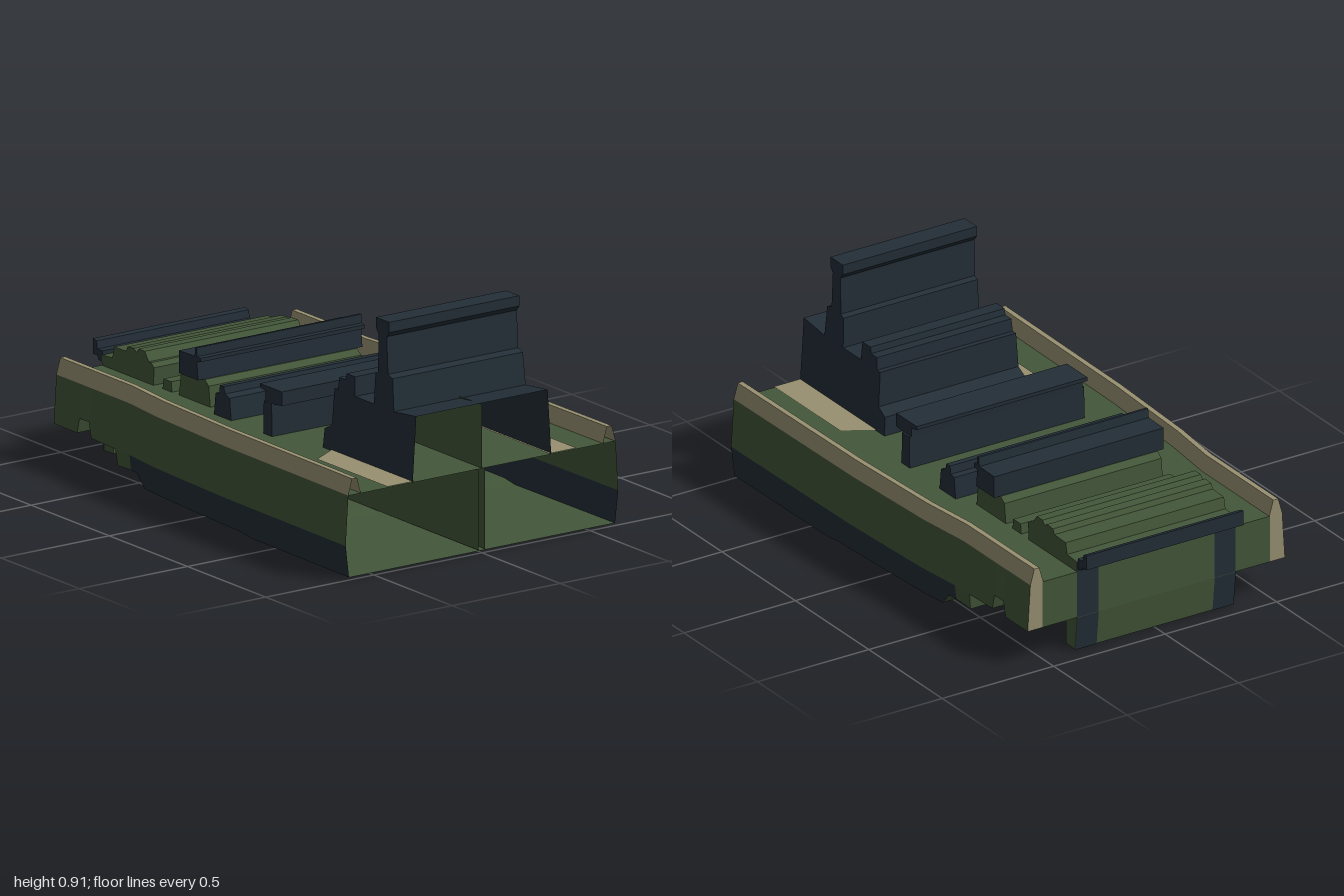
import * as THREE from 'three';

const mat = (name, color) => new THREE.MeshStandardMaterial({ name, color, side: THREE.DoubleSide });

export function createModel() {
  const model = new THREE.Group();
  const green = mat('olive green', 0x435639);
  const navy = mat('dark navy', 0x232e37);
  const beige = mat('khaki beige', 0x979071);
  const DECK = 0.33, BAND = 0.135, STERN = -0.94;

  const add = (name, geometry, material) => {
    const mesh = new THREE.Mesh(geometry, material);
    mesh.name = name;
    model.add(mesh);
    return mesh;
  };

  // Flat-shaded surface from a list of four-cornered faces
  const quads = (list) => {
    const p = [];
    for (const [a, b, c, d] of list) p.push(...a, ...b, ...c, ...a, ...c, ...d);
    const g = new THREE.BufferGeometry();
    g.setAttribute('position', new THREE.Float32BufferAttribute(p, 3));
    g.computeVertexNormals();
    return g;
  };

  // Side profile of [z, y] points, spread across the ship and narrowed towards the top;
  // faces lying on the deck or on the open bow plane are left out
  const across = (name, profile, half, material, taper = 0) => {
    const shape = new THREE.Shape(profile.map(([z, y]) => new THREE.Vector2(z, y)));
    const src = new THREE.ExtrudeGeometry(shape, { depth: half * 2, bevelEnabled: false });
    src.rotateY(-Math.PI / 2).translate(half, 0, 0);
    const s = src.attributes.position, p = [];
    for (let i = 0; i < s.count; i += 3) {
      const t = [0, 1, 2].map((k) => [s.getX(i + k), s.getY(i + k), s.getZ(i + k)]);
      if (t.every((v) => v[2] > 0.999) || t.every((v) => Math.abs(v[1] - DECK) < 0.001)) continue;
      for (const [x, y, z] of t) p.push(x * (1 - taper * Math.min(Math.max(y - DECK, 0), 0.3)), y, z);
    }
    const g = new THREE.BufferGeometry();
    g.setAttribute('position', new THREE.Float32BufferAttribute(p, 3));
    g.computeVertexNormals();
    return add(name, g, material);
  };

  // Half width of the hull along its length
  const beam = [[1, 0.63], [0.2, 0.622], [-0.25, 0.602], [-0.48, 0.578], [STERN, 0.577]];
  const width = (z) => {
    for (let i = 1; i < beam.length; i++) {
      const [z0, w0] = beam[i - 1], [z1, w1] = beam[i];
      if (z >= z1) return w0 + (w1 - w0) * (z - z0) / (z1 - z0);
    }
    return beam.at(-1)[1];
  };

  // Stations: z and height of the bottom
  const stations = [[1, 0.01], [0.65, 0.01], [0.37, 0.01], [0.3, 0.02], [0.2, 0.021], [-0.25, 0.025],
    [-0.36, 0.025], [-0.405, 0.075], [-0.45, 0.075], [-0.48, 0.073], [-0.54, 0.07], [-0.545, BAND],
    [-0.7, 0.14], [-0.715, 0.2], [-0.775, 0.2], [-0.79, 0.14], [STERN, 0.14]];
  const bottom = [], deck = [], lowerNavy = [], sideGreen = [], rail = [];
  for (let i = 1; i < stations.length; i++) {
    const [za, ba] = stations[i - 1], [zb, bb] = stations[i];
    const wa = width(za), wb = width(zb);
    const low = (w, b) => w - 0.015 * Math.max(0, (BAND - b) / 0.125);
    const la = low(wa, ba), lb = low(wb, bb);
    bottom.push([[-la, ba, za], [-lb, bb, zb], [lb, bb, zb], [la, ba, za]]);
    deck.push([[-wa + 0.015, DECK, za], [wa - 0.015, DECK, za], [wb - 0.015, DECK, zb], [-wb + 0.015, DECK, zb]]);
    for (const s of [1, -1]) {
      // s mirrors each strip; corner order flips with it
      const strip = (target, xa, ya, xb, yb, xc, yc, xd, yd) => {
        const q = [[s * xa, ya, za], [s * xb, yb, zb], [s * xc, yc, zb], [s * xd, yd, za]];
        target.push(s > 0 ? q : q.reverse());
      };
      if (ba < BAND) strip(zb < -0.451 ? sideGreen : lowerNavy, la, ba, lb, bb, wb, BAND, wa, BAND);
      strip(sideGreen, wa, Math.max(ba, BAND), wb, Math.max(bb, BAND), wb - 0.012, DECK, wa - 0.012, DECK);
      // Bulwark: outer slope, top, inner slope
      const lip = [[0.012, DECK], [0.03, 0.393], [0.052, 0.393], [0.07, DECK]];
      for (let k = 1; k < lip.length; k++) {
        const [d0, y0] = lip[k - 1], [d1, y1] = lip[k];
        strip(rail, wa - d0, y0, wb - d0, y0, wb - d1, y1, wa - d1, y1);
      }
    }
  }
  add('hullBottom', quads(bottom), green);
  add('deck', quads(deck), green);
  add('lowerHullBand', quads(lowerNavy), navy);
  add('hullSides', quads(sideGreen), green);
  add('bulwarks', quads(rail), beige);

  // Transom panels, each facing aft
  const panel = (x0, x1, y0, y1, z = STERN) => [[x1, y0, z], [x0, y0, z], [x0, y1, z], [x1, y1, z]];
  const mirrored = (x0, x1, y0, y1, z) => [panel(x0, x1, y0, y1, z), panel(-x1, -x0, y0, y1, z)];
  add('transomCentre', quads([panel(-0.26, 0.26, 0.14, 0.37), ...mirrored(0.355, 0.51, 0.14, DECK)]), green);
  add('transomStripes', quads(mirrored(0.26, 0.355, 0.14, 0.37)), navy);
  const w = width(STERN);
  add('bulwarkEnds', quads([1, -1].map((s) => [[s * w, 0.14, STERN], [s * 0.51, 0.14, STERN],
    [s * 0.51, DECK, STERN], [s * (w - 0.012), DECK, STERN]]).concat([1, -1].map((s) => [
    [s * (w - 0.012), DECK, STERN], [s * 0.507, DECK, STERN],
    [s * (w - 0.052), 0.393, STERN], [s * (w - 0.03), 0.393, STERN]])).map((q, i) => (i % 2 ? q.reverse() : q))), beige);

  // Stern flap reaching below the hull, with painted edges
  across('sternFlap', [[-0.865, 0.14], [-0.865, 0.002], [-0.925, 0], [STERN, 0.14]], 0.355, green);
  add('flapStripes', quads([[0.26, 0.355], [-0.355, -0.26]].map(([a, b]) => [
    [b, 0, -0.928], [a, 0, -0.928], [a, 0.14, -0.943], [b, 0.14, -0.943]])), navy);
  across('sternRail', [[STERN, 0.34], [-0.965, 0.345], [-0.972, 0.36], [-1, 0.36], [-1, 0.42],
    [-0.978, 0.415], [-0.972, 0.385], [STERN, 0.385]], 0.352, navy);

  // Khaki deck patches beside the tower
  add('deckPatches', quads([1, -1].map((s) => {
    const q = [[0.31, 1], [0.437, 1], [0.437, 0.55], [0.31, 0.475]].map(([x, z]) => [s * x, DECK + 0.004, z]);
    return s > 0 ? q : q.reverse();
  })), beige);

  // Stepped superstructure with its tall tower, open at the bow end
  across('superstructure', [[1, DECK], [1, 0.585], [0.858, 0.57], [0.845, 0.695], [0.815, 0.705], [0.807, 0.85],
    [0.823, 0.87], [0.823, 0.91], [0.738, 0.91], [0.738, 0.87], [0.754, 0.85], [0.752, 0.70], [0.735, 0.69],
    [0.73, 0.57], [0.61, 0.57], [0.605, 0.645], [0.55, 0.645], [0.545, 0.62], [0.505, 0.62], [0.5, 0.57],
    [0.478, 0.57], [0.475, 0.43], [0.43, 0.405], [0.425, DECK]], 0.32, navy, 0.2);

  // Lengthwise inner walls, visible through the open bow
  add('innerWalls', quads([1, -1].map((s) => [[s * 0.015, 0.012, 1], [s * 0.04, 0.025, -0.25],
    [s * 0.035, DECK - 0.001, -0.25], [s * 0.015, DECK - 0.001, 1]])), green);
  add('towerWall', quads([[[0, DECK, 1], [0, DECK, 0.48], [0, 0.568, 0.5], [0, 0.58, 1]]]), green);

  // Deck fittings from bow to stern
  across('tableTop', [[0.25, 0.46], [0.2, 0.455], [0.145, 0.455], [0.145, 0.495], [0.11, 0.5],
    [0.11, 0.515], [0.25, 0.515]], 0.383, navy);
  across('tableStem', [[0.2, DECK], [0.197, 0.458], [0.147, 0.458], [0.144, DECK]], 0.392, navy);
  across('lowLocker', [[-0.06, DECK], [-0.07, 0.415], [-0.1, 0.425], [-0.107, 0.452], [-0.132, 0.452],
    [-0.137, 0.42], [-0.16, 0.415], [-0.17, DECK]], 0.393, navy);
  across('gunBase', [[-0.25, DECK], [-0.26, 0.41], [-0.285, 0.43], [-0.415, 0.43], [-0.44, 0.41],
    [-0.45, DECK]], 0.352, green);
  across('gunHousing', [[-0.29, 0.43], [-0.297, 0.5], [-0.275, 0.505], [-0.275, 0.52], [-0.295, 0.522],
    [-0.297, 0.556], [-0.307, 0.556], [-0.312, 0.52], [-0.413, 0.518], [-0.413, 0.43]], 0.38, navy);
  across('smallHatch', [[-0.495, DECK], [-0.5, 0.37], [-0.55, 0.37], [-0.555, DECK]], 0.352, green);
  across('sternHousing', [[-0.61, DECK], [-0.605, 0.4], [-0.625, 0.415], [-0.64, 0.415], [-0.665, 0.45],
    [-0.705, 0.45], [-0.718, 0.432], [-0.735, 0.445], [-0.775, 0.442], [-0.785, 0.422], [-0.862, 0.42],
    [-0.872, 0.375], [-0.938, 0.37], [-0.938, DECK]], 0.355, green);

  return model;
}
